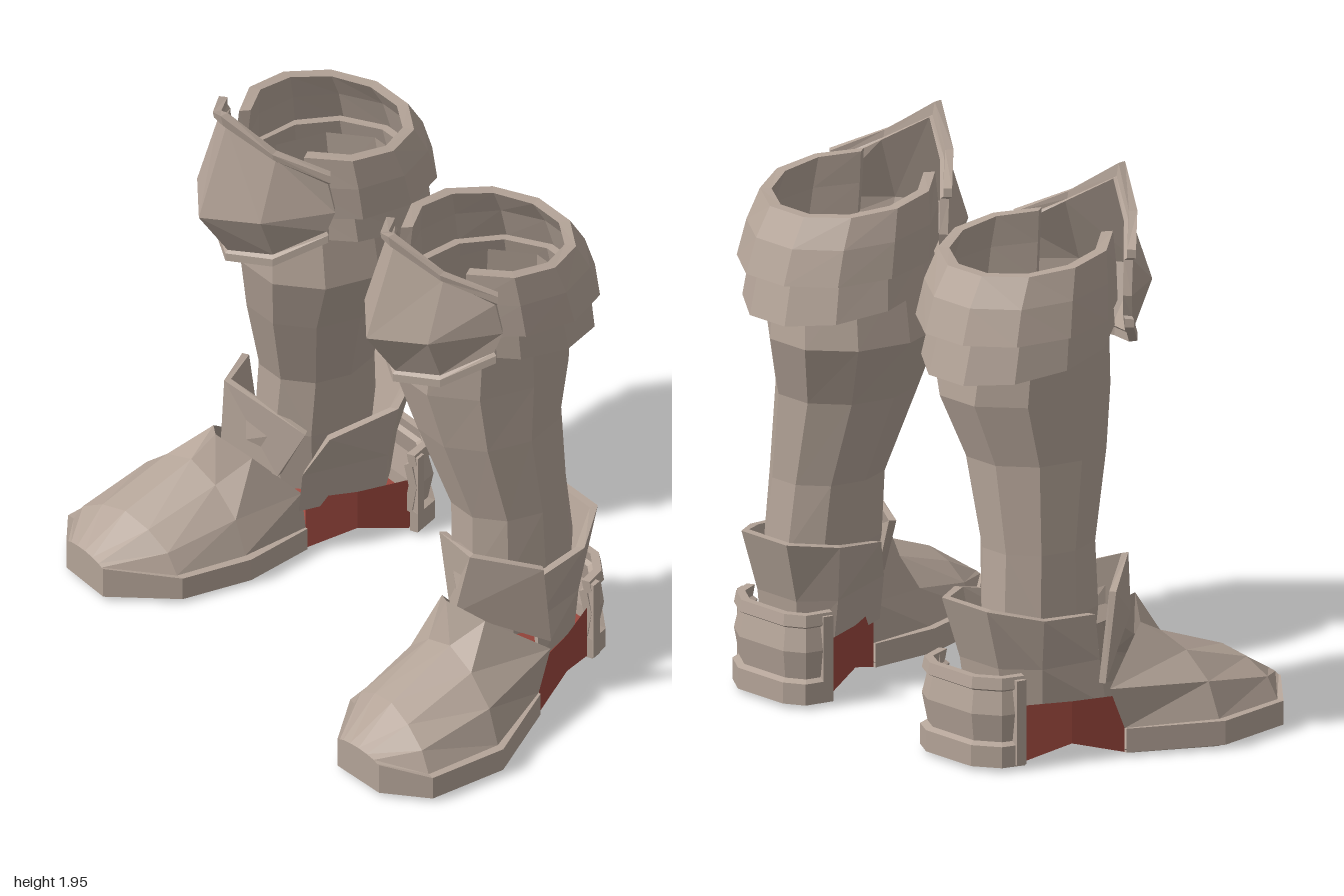
import * as THREE from 'three';
import { mergeGeometries } from 'three/addons/utils/BufferGeometryUtils.js';

const steel = new THREE.MeshStandardMaterial({ color: 0xb4a498, flatShading: true, side: THREE.DoubleSide });
const red = new THREE.MeshStandardMaterial({ color: 0x9c483e, flatShading: true, side: THREE.DoubleSide });

// Skin over rows of points; closed joins the last column to the first
function loft(rows, closed = false) {
  const n = rows[0].length, index = [];
  for (let i = 0; i < rows.length - 1; i++) {
    for (let j = 0; j < (closed ? n : n - 1); j++) {
      const k = (j + 1) % n;
      const a = i * n + j, b = i * n + k, c = a + n, d = b + n;
      index.push(a, b, d, a, d, c);
    }
  }
  const g = new THREE.BufferGeometry();
  g.setAttribute('position', new THREE.Float32BufferAttribute(rows.flat(2), 3));
  g.setIndex(index);
  return g;
}

// Fan closing the first ring of a loft
function cap(ring) {
  const centre = [0, 1, 2].map(a => ring.reduce((s, p) => s + p[a], 0) / ring.length);
  return loft([ring.map(() => centre), ring], true);
}

// Thick plate: outer rows, an inner copy drawn toward an upright axis, and its edges
function plate(rows, t, cx, cz) {
  const inner = rows.map(r => r.map(([x, y, z]) => {
    const d = Math.hypot(x - cx, z - cz);
    return [x - (x - cx) / d * t, y, z - (z - cz) / d * t];
  }));
  const last = rows[0].length - 1;
  return mergeGeometries([
    loft([...rows, ...inner.slice().reverse(), rows[0]]),
    loft(rows.map((r, i) => [inner[i][0], r[0]])),
    loft(rows.map((r, i) => [r[last], inner[i][last]])),
  ]);
}

// Point on an oval fitted to x and z limits, at an angle from the front
function oval(a, y, x0, x1, z0, z1, tilt = 0) {
  const z = (z0 + z1) / 2 + Math.cos(a) * (z1 - z0) / 2 * 1.04;
  return [(x0 + x1) / 2 + Math.sin(a) * (x1 - x0) / 2, y + tilt * z, z];
}

const ring = (...limits) =>
  Array.from({ length: 10 }, (_, i) => oval((i + 0.5) / 10 * Math.PI * 2, ...limits));

// Ring left open at the front, behind the knee plate
const openRing = (...limits) =>
  Array.from({ length: 10 }, (_, i) => oval(0.62 + i / 9 * (Math.PI * 2 - 1.24), ...limits));

// Foot cross-section between an inner and an outer sole point
function footSection([xi, zi], [xo, zo], rim, top) {
  const t = [0, 0, 0.05, 0.13, 0.3, 0.5, 0.7, 0.87, 0.95, 1, 1];
  const h = [0, 0, 0, 0.48, 0.83, 1, 0.83, 0.48, 0, 0, 0];
  return t.map((f, i) => [
    xi + (xo - xi) * f,
    i === 0 || i === 10 ? 0.015 : rim + (top - rim) * h[i],
    zi + (zo - zi) * f,
  ]);
}

function bootParts() {
  const parts = [];
  const add = (name, geometry, material = steel) => parts.push({ name, geometry, material });

  // Shin tube
  add('shin', loft([
    ring(0.25, 0.38, 0.70, -0.44, -0.06),
    ring(0.50, 0.35, 0.71, -0.46, -0.02),
    ring(0.73, 0.33, 0.70, -0.44, -0.03),
    ring(1.04, 0.23, 0.69, -0.45, 0.06),
    ring(1.26, 0.14, 0.69, -0.52, 0.11),
    ring(1.50, 0.18, 0.69, -0.49, 0.09),
  ], true));

  // Two overlapping thigh bands
  add('lowerThighBand', plate([
    openRing(1.45, 0.13, 0.745, -0.59, 0.08, 0.16),
    openRing(1.56, 0.15, 0.735, -0.55, 0.07, 0.08),
  ], 0.03, 0.44, -0.25));
  add('upperThighBand', plate([
    openRing(1.545, 0.105, 0.77, -0.60, 0.08, 0.07),
    openRing(1.67, 0.115, 0.755, -0.56, 0.08, 0.08),
    openRing(1.785, 0.135, 0.735, -0.50, 0.07, 0.12),
  ], 0.04, 0.44, -0.25));

  // Pointed knee plate with raised lips
  const kneeRow = (side, half, mid) => [
    [0.45 - side[0], side[1], side[2]], [0.45 - half[0], half[1], half[2]], [0.45, mid[0], mid[1]],
    [0.45 + half[0], half[1], half[2]], [0.45 + side[0], side[1], side[2]],
  ];
  add('kneePlate', plate([
    kneeRow([0.29, 1.48, 0.00], [0.16, 1.37, 0.14], [1.34, 0.215]),
    kneeRow([0.29, 1.51, 0.00], [0.16, 1.40, 0.14], [1.37, 0.215]),
    kneeRow([0.28, 1.52, 0.00], [0.15, 1.41, 0.13], [1.38, 0.205]),
    kneeRow([0.30, 1.60, -0.02], [0.17, 1.58, 0.20], [1.57, 0.33]),
    kneeRow([0.285, 1.72, 0.00], [0.155, 1.805, 0.12], [1.90, 0.21]),
    kneeRow([0.30, 1.73, 0.00], [0.16, 1.81, 0.135], [1.905, 0.225]),
    kneeRow([0.30, 1.76, 0.00], [0.16, 1.835, 0.14], [1.95, 0.235]),
  ], 0.03, 0.45, -0.25));

  // Toe cap and vamp, rising to a ridged instep at the ankle
  const toe = footSection([0.63, 0.60], [0.84, 0.59], 0.13, 0.145);
  const instep = [
    [0.41, 0.015, -0.11], [0.41, 0.10, -0.11], [0.42, 0.10, -0.11], [0.43, 0.24, -0.10],
    [0.51, 0.41, 0.05], [0.62, 0.48, 0.12], [0.73, 0.42, 0.04], [0.81, 0.25, -0.18],
    [0.82, 0.10, -0.12], [0.83, 0.10, -0.12], [0.83, 0.015, -0.12],
  ];
  add('foot', mergeGeometries([
    cap(toe),
    loft([
      toe,
      footSection([0.45, 0.40], [0.98, 0.47], 0.10, 0.25),
      footSection([0.39, 0.15], [1.00, 0.18], 0.10, 0.355),
      instep,
    ], true),
  ]));

  // Outsole under the toe
  const sole = [[0.44, -0.08], [0.41, 0.13], [0.46, 0.38], [0.64, 0.58], [0.84, 0.575], [0.96, 0.46], [0.98, 0.18], [0.81, -0.11]];
  const tread = sole.map(([x, z]) => [0.7 + (x - 0.7) * 0.93, 0, 0.23 + (z - 0.23) * 0.93]);
  add('toeSole', mergeGeometries([
    cap(tread),
    loft([tread, sole.map(([x, z]) => [x, 0.02, z])], true),
  ]));

  // Winged flap in front of the ankle
  add('ankleFlap', plate([
    [[0.46, 0.33, -0.02], [0.63, 0.42, 0.09], [0.80, 0.27, -0.19]],
    [[0.36, 0.54, -0.06], [0.66, 0.65, 0.05], [0.81, 0.59, -0.15]],
  ], 0.025, 0.54, -0.3));

  // Flared guard round the back of the ankle
  add('ankleGuard', plate([
    [[0.77, 0.18, -0.16], [0.69, 0.18, -0.38], [0.59, 0.18, -0.47], [0.41, 0.18, -0.47], [0.33, 0.18, -0.38], [0.42, 0.18, -0.08]],
    [[0.75, 0.34, -0.17], [0.70, 0.34, -0.39], [0.59, 0.34, -0.49], [0.40, 0.34, -0.49], [0.31, 0.34, -0.38], [0.40, 0.34, -0.08]],
    [[0.74, 0.50, -0.18], [0.72, 0.52, -0.40], [0.60, 0.56, -0.555], [0.38, 0.56, -0.555], [0.28, 0.54, -0.40], [0.34, 0.49, -0.15]],
  ], 0.03, 0.52, -0.24));

  // Banded heel cup, with an upright post at each end
  const heel = [[0.69, -0.46], [0.66, -0.54], [0.57, -0.60], [0.35, -0.60], [0.28, -0.56], [0.25, -0.46]];
  const heelRow = (y, s) => heel.map(([x, z]) => [0.47 + (x - 0.47) * s, y, -0.36 + (z + 0.36) * s]);
  add('heelCup', plate([
    heelRow(0.015, 1), heelRow(0.09, 1), heelRow(0.10, 0.91), heelRow(0.20, 0.98),
    heelRow(0.28, 0.91), heelRow(0.29, 0.98), heelRow(0.33, 0.95),
  ], 0.03, 0.47, -0.36));
  add('heelPosts', mergeGeometries([
    [[0.695, -0.46], [0.685, -0.495]],
    [[0.26, -0.495], [0.25, -0.46]],
  ].map(ends => plate([0.02, 0.32].map(y => ends.map(([x, z]) => [x, y, z])), 0.04, 0.47, -0.44))));

  // Red arched shank and heel sole, hollow above its floor
  const shankRow = (xi, zi, xo, zo, y, top) => [[xo, top, zo], [xo, y, zo], [xi, y, zi], [xi, top, zi]];
  add('shank', loft([
    shankRow(0.42, -0.11, 0.82, -0.12, 0.015, 0.22),
    shankRow(0.34, -0.27, 0.75, -0.30, 0.07, 0.22),
    shankRow(0.285, -0.45, 0.67, -0.45, 0.02, 0.22),
    shankRow(0.32, -0.52, 0.62, -0.52, 0.025, 0.09),
    shankRow(0.36, -0.575, 0.56, -0.575, 0.025, 0.09),
  ]), red);

  return parts;
}

// Reflect in x and reverse the faces
function mirrored(geometry) {
  const g = geometry.clone().scale(-1, 1, 1);
  g.index.array.reverse();
  return g;
}

export function createModel() {
  const model = new THREE.Group();
  model.name = 'armouredBoots';
  const parts = bootParts();
  for (const side of ['left', 'right']) {
    const boot = new THREE.Group();
    boot.name = side + 'Boot';
    for (const { name, geometry, material } of parts) {
      const g = (side === 'left' ? geometry : mirrored(geometry)).toNonIndexed();
      g.computeVertexNormals();
      const mesh = new THREE.Mesh(g, material);
      mesh.name = name;
      boot.add(mesh);
    }
    model.add(boot);
  }
  return model;
}
